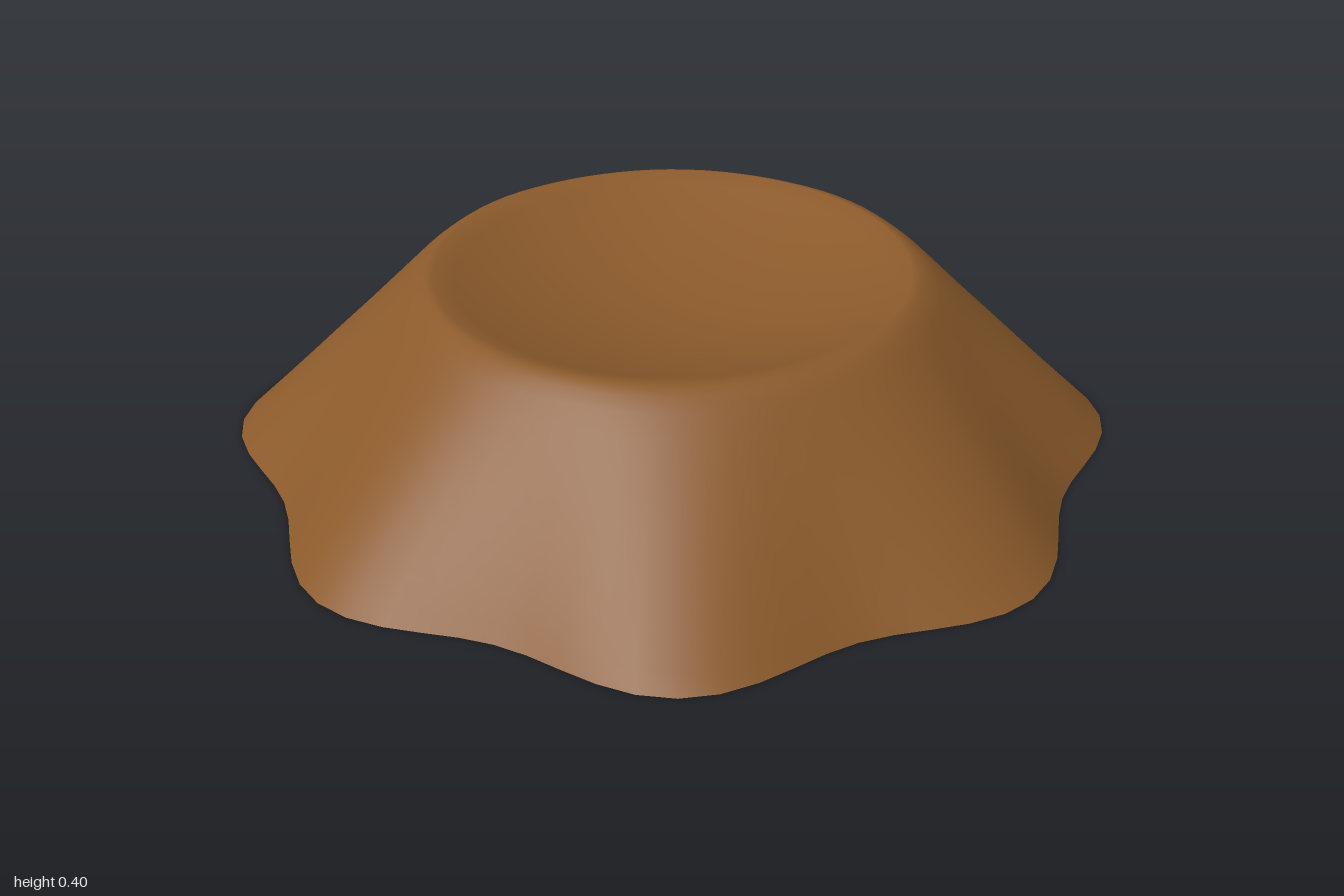
import * as THREE from 'three';
import { mergeVertices } from 'three/addons/utils/BufferGeometryUtils.js';

const RIM = 0.53;    // radius of the round upper edge
const HEIGHT = 0.4;
const DISH = 0.115;  // depth of the hollow in the top
const LOBES = 8;

export function createModel() {
  const group = new THREE.Group();
  group.name = 'flutedMound';

  // Profile: sloping skirt from the ground up, a softened shoulder, then the dish
  const profile = [];
  for (let i = 0; i <= 10; i++) {
    const t = i / 10;
    profile.push(new THREE.Vector2(1 - 0.4 * t, 0.365 * t));
  }
  profile.push(new THREE.Vector2(0.57, 0.386), new THREE.Vector2(0.55, 0.395));
  for (let i = 0; i <= 12; i++) {
    const k = 1 - i / 12;
    profile.push(new THREE.Vector2(RIM * k, HEIGHT - DISH * (1 - k * k)));
  }

  // Flutes: the lobes fade out from the ground to the round rim
  let geometry = new THREE.LatheGeometry(profile, 80);
  const p = geometry.attributes.position;
  for (let i = 0; i < p.count; i++) {
    const x = p.getX(i), z = p.getZ(i);
    const fade = Math.max(0, (Math.hypot(x, z) - RIM) / (1 - RIM));
    const s = 1 - 0.045 * fade * (1 - Math.cos(LOBES * Math.atan2(x, z)));
    p.setX(i, x * s);
    p.setZ(i, z * s);
  }

  // Weld the seam so the shading runs smoothly all the way round
  geometry.deleteAttribute('uv');
  geometry.deleteAttribute('normal');
  geometry = mergeVertices(geometry, 1e-4);
  geometry.computeVertexNormals();

  const shell = new THREE.Mesh(
    geometry,
    new THREE.MeshStandardMaterial({ color: 0x8b5a2b, side: THREE.DoubleSide })
  );
  shell.name = 'flutedShell';
  group.add(shell);
  return group;
}
